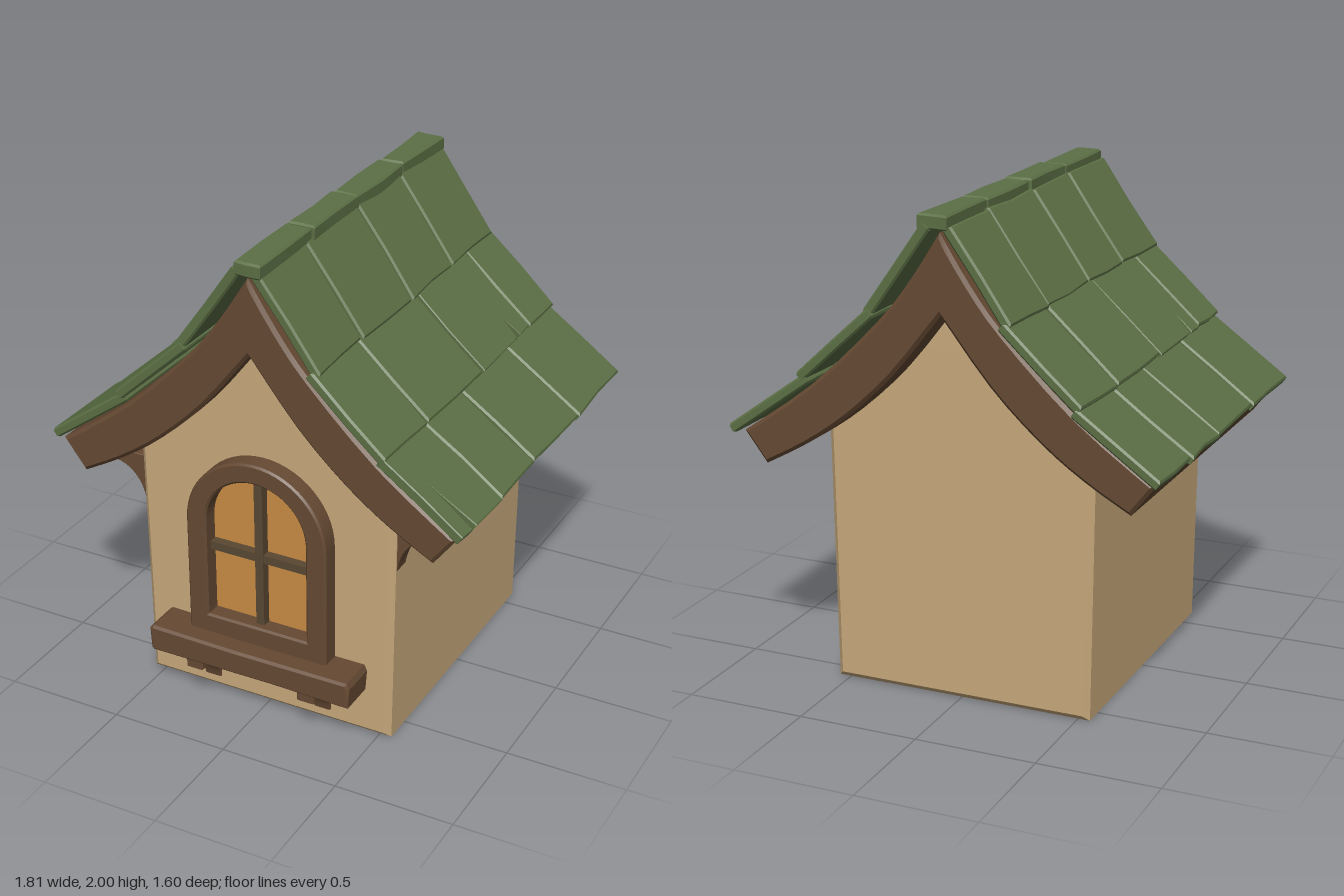
import * as THREE from 'three';
import { toCreasedNormals } from 'three/addons/utils/BufferGeometryUtils.js';

const mat = (name, color) => Object.assign(new THREE.MeshStandardMaterial({ color }), { name });
const V = (x, y) => new THREE.Vector2(x, y);

export function createModel() {
  const plaster = mat('plaster', 0xc9aa7c);
  const wood = mat('wood', 0x664a33);
  const shingle = mat('shingle green', 0x5c7045);
  const glass = mat('amber glass', 0xc98d45);
  const lattice = mat('lattice wood', 0x5a4832);

  const model = new THREE.Group();
  model.name = 'cottageDormer';

  let seed = 7;
  const rand = () => ((seed = (seed * 16807) % 2147483647) / 2147483647) * 2 - 1;

  const add = (name, geometry, material, parent = model) => {
    const mesh = new THREE.Mesh(geometry, material);
    mesh.name = name;
    parent.add(mesh);
    return mesh;
  };

  // Bevelled extrusion that stays inside its outline and spans z0..z1
  const slab = (shape, z0, z1, bevel) => {
    const g = new THREE.ExtrudeGeometry(shape, {
      depth: z1 - z0 - 2 * bevel, curveSegments: 14, bevelEnabled: bevel > 0,
      bevelSize: bevel, bevelThickness: bevel, bevelOffset: -bevel, bevelSegments: 1,
    });
    g.translate(0, 0, z0 + bevel);
    return toCreasedNormals(g, 0.45);
  };

  // Mirrors the right half of a top curve, apex first
  const mirrored = (half) => [...half.slice(1).reverse().map((p) => V(-p.x, p.y)), ...half];
  const sampled = (points) => new THREE.SplineCurve(points).getPoints(12);

  // Walls: flared gable block, top hidden inside the roof
  const wallTop = mirrored([V(0, 1.76), V(0.2, 1.45), V(0.4, 1.25), V(0.565, 1.13)]).reverse();
  add('walls', slab(new THREE.Shape([V(-0.55, 0), V(0.55, 0), ...wallTop]), -0.605, 0.64, 0.025), plaster);

  // Swept wooden roof under the shingles
  const outer = sampled([V(0, 1.92), V(0.12, 1.735), V(0.26, 1.56), V(0.55, 1.28), V(0.86, 1.055)]);
  const inner = sampled([V(0, 1.605), V(0.2, 1.355), V(0.4, 1.165), V(0.58, 1.035), V(0.765, 0.93)]);
  add('roofBoards', slab(new THREE.Shape([...mirrored(inner), ...mirrored(outer).reverse()]), -0.75, 0.74, 0.014), wood);

  // One row of uneven shingles between an upper and a lower line, cut along z
  function shingleRow(name, side, upper, lower, thick, cuts, cracks = {}) {
    const row = new THREE.Group();
    row.name = name;
    const up = new THREE.Vector3(side * (upper.x - lower.x), upper.y - lower.y, 0);
    const length = up.length();
    up.normalize();
    const along = new THREE.Vector3(0, 0, -side);
    const normal = new THREE.Vector3().crossVectors(along, up);
    const basis = new THREE.Matrix4().makeBasis(along, up, normal)
      .setPosition(side * lower.x, lower.y, 0);
    for (let i = 0; i < cuts.length - 1; i++) {
      const ends = [-side * cuts[i], -side * cuts[i + 1]].sort((a, b) => a - b);
      const a = ends[0] + 0.004, b = ends[1] - 0.004;
      const j = (k = 0.006) => rand() * k;
      const mid = (a + b) / 2;
      const pts = [V(a + j(), j(0.008)), V(b + j(), j(0.008)), V(b + j(), length / 2 + j()),
        V(b + j(), length + j()), V(mid, length + j()), V(a + j(), length + j()), V(a + j(), length / 2)];
      // A crack is a narrow notch rising from the lower edge
      const crack = cracks[i];
      if (crack) {
        const c = -side * crack[0];
        pts.splice(1, 0, V(c - 0.02, 0), V(c - 0.012 * side, crack[1]), V(c + 0.012, 0));
      } else pts.splice(1, 0, V(mid, j(0.005)));
      const lift = j(0.003);
      const g = slab(new THREE.Shape(pts), lift, thick + lift, crack ? 0.004 : 0.008);
      add('shingle', g.applyMatrix4(basis), shingle, row);
    }
    model.add(row);
  }

  const lines = {
    eave: [V(0.54, 1.295), V(0.878, 1.053)],
    middle: [V(0.257, 1.585), V(0.566, 1.302)],
    top: [V(0.022, 1.935), V(0.274, 1.58)],
  };
  const rightCuts = {
    eave: [0.76, 0.415, 0.1, -0.34, -0.8],
    middle: [0.77, 0.42, -0.07, -0.54, -0.8],
    top: [0.75, 0.4, -0.02, -0.39, -0.785],
  };
  const leftCuts = {
    eave: [0.75, 0.295, -0.14, -0.46, -0.8],
    middle: [0.76, 0.5, 0.03, -0.44, -0.795],
    top: [0.75, 0.35, -0.01, -0.43, -0.78],
  };
  const leftRowCracks = { middle: { 1: [0.39, 0.11] } };
  const rightRowCracks = { eave: { 0: [0.66, 0.24] }, middle: { 2: [-0.43, 0.11] } };
  for (const key of Object.keys(lines)) {
    shingleRow(key + 'ShinglesLeft', 1, ...lines[key], 0.042, rightCuts[key], rightRowCracks[key]);
    shingleRow(key + 'ShinglesRight', -1, ...lines[key], 0.042, leftCuts[key], leftRowCracks[key]);
  }

  // Ridge caps
  shingleRow('ridgeCaps', 1, V(-0.045, 1.935), V(0.07, 1.935), 0.06, [0.76, 0.355, -0.01, -0.41, -0.78]);

  // Arched window
  const arch = (Type, r, bottom, spring) => {
    const s = new Type();
    s.moveTo(-r, bottom);
    s.lineTo(r, bottom);
    s.lineTo(r, spring);
    s.absarc(0, spring, r, 0, Math.PI, false);
    s.closePath();
    return s;
  };
  const window_ = new THREE.Group();
  window_.name = 'window';
  model.add(window_);
  const frame = arch(THREE.Shape, 0.31, 0.3, 0.827);
  frame.holes.push(arch(THREE.Path, 0.222, 0.405, 0.832));
  add('windowFrame', slab(frame, 0.63, 0.718, 0.008), wood, window_);
  const pane = new THREE.ShapeGeometry(arch(THREE.Shape, 0.225, 0.4, 0.832), 14);
  add('windowPane', pane.translate(0, 0, 0.648), glass, window_);
  add('verticalBar', new THREE.BoxGeometry(0.036, 0.65, 0.045).translate(0, 0.73, 0.665), lattice, window_);
  add('crossBar', new THREE.BoxGeometry(0.44, 0.036, 0.04).translate(0, 0.71, 0.665), lattice, window_);

  // Rough window sill
  const sill = new THREE.Shape([V(-0.45, 0.22), V(-0.44, 0.212), V(0.1, 0.216), V(0.445, 0.21),
    V(0.452, 0.3), V(0.44, 0.325), V(-0.05, 0.322), V(-0.44, 0.328), V(-0.455, 0.315)]);
  add('windowSill', slab(sill, 0.62, 0.8, 0.01), wood);

  // Concave brackets, reaching outward along local +x
  const bracket = (name, reach, y0, y1, top, width) => {
    const s = new THREE.Shape();
    s.moveTo(-0.03, y0);
    s.lineTo(0.005, y0);
    s.quadraticCurveTo(reach * 0.16, y1 - 0.005, reach, y1);
    s.lineTo(reach, top);
    s.lineTo(-0.03, top);
    s.closePath();
    return add(name, slab(s, -width / 2, width / 2, 0.003), wood);
  };
  for (const side of [1, -1]) {
    const under = bracket('sillBracket', 0.145, 0.06, 0.175, 0.22, 0.075);
    under.rotation.y = -Math.PI / 2;
    under.position.set(side * 0.253, 0, 0.64);

    const eave = bracket('eaveBracket', 0.19, 0.77, 0.945, 0.99, 0.08);
    eave.rotation.y = side > 0 ? 0 : Math.PI;
    eave.position.set(side * 0.555, 0, 0.57);
  }

  return model;
}
